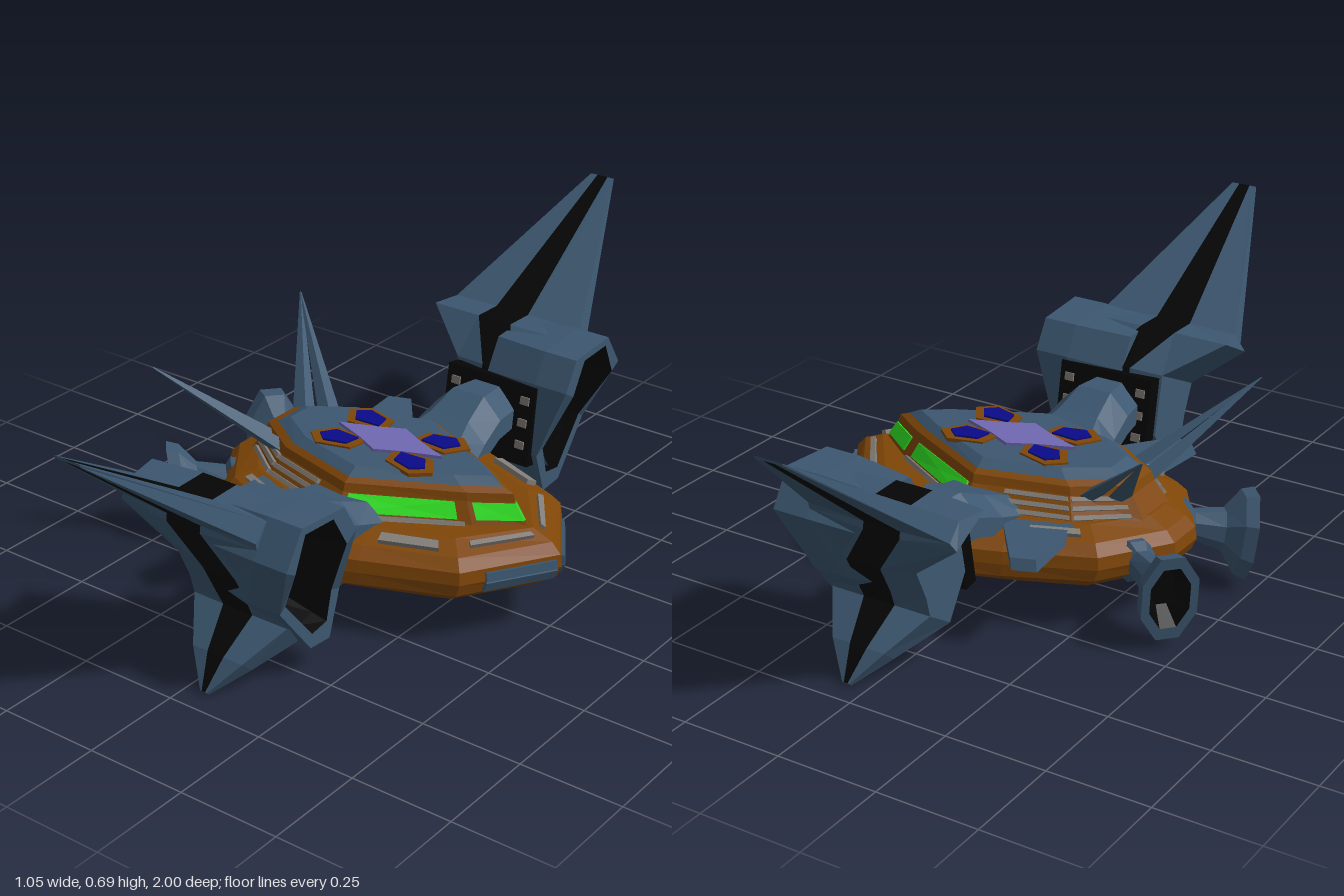
import * as THREE from 'three';

const mat = (name, color) => {
  const m = new THREE.MeshStandardMaterial({ color, flatShading: true });
  m.name = name;
  return m;
};
const ORANGE = mat('burnt orange', 0x7f4607), BLUE = mat('steel blue', 0x3c5770), BLACK = mat('black', 0x050505),
  GREEN = mat('glowing green', 0x33f526), VIOLET = mat('violet', 0x7068b2), NAVY = mat('navy', 0x0a0a8a), GREY = mat('grey', 0x827d78);

const V = (x, y, z) => new THREE.Vector3(x, y, z);

// Closed skin over equal-length rings of points; pick(row, column) chooses the material,
// row -1 is the first cap and row -2 the last cap; a negative choice leaves an opening.
function loft(name, rings, mats, pick = () => 0) {
  const list = Array.isArray(mats) ? mats : [mats];
  const tris = list.map(() => []);
  const n = rings[0].length;
  const mid = (r) => r.reduce((a, p) => a.add(p), V(0, 0, 0)).divideScalar(n);
  for (let r = 0; r < rings.length - 1; r++) {
    for (let i = 0; i < n; i++) {
      const j = (i + 1) % n, A = rings[r], B = rings[r + 1], k = pick(r, i);
      if (k >= 0) tris[k].push([A[i], A[j], B[j]], [A[i], B[j], B[i]]);
    }
  }
  const first = rings[0], last = rings[rings.length - 1], cf = mid(first), cl = mid(last);
  for (let i = 0; i < n; i++) {
    const j = (i + 1) % n;
    tris[pick(-1, i)].push([cf, first[j], first[i]]);
    tris[pick(-2, i)].push([cl, last[i], last[j]]);
  }
  // turn every face outward by the sign of the enclosed volume
  let volume = 0;
  tris.flat().forEach(([a, b, c]) => { volume += a.clone().sub(cf).dot(b.clone().sub(cf).cross(c.clone().sub(cf))); });
  const pos = [], g = new THREE.BufferGeometry();
  tris.forEach((set, k) => {
    g.addGroup(pos.length / 3, set.length * 3, k);
    set.forEach(([a, b, c]) => (volume < 0 ? [a, c, b] : [a, b, c]).forEach((p) => pos.push(p.x, p.y, p.z)));
  });
  g.setAttribute('position', new THREE.Float32BufferAttribute(pos, 3));
  g.computeVertexNormals();
  const mesh = new THREE.Mesh(g, list.length > 1 ? list : list[0]);
  mesh.name = name;
  return mesh;
}

// Thin plate straddling a flat polygon
function plate(name, pts, material, half = 0.0045) {
  const nrm = pts[2].clone().sub(pts[0]).cross(pts[pts.length - 1].clone().sub(pts[1])).normalize();
  const off = (d) => pts.map((p) => p.clone().addScaledVector(nrm, d));
  return loft(name, [off(-half), off(half)], material);
}

// Quad cut from the face between two profile edges
function patch(A, B, i, u0, u1, v0, v1, s) {
  const at = (u, v) => A[i].clone().lerp(A[i + 1], u).lerp(B[i].clone().lerp(B[i + 1], u), v).multiply(V(1, 1, s));
  return [at(u0, v0), at(u1, v0), at(u1, v1), at(u0, v1)];
}

const scaled = (half, y, kx, kz) => half.map(([x, z]) => V(0.05 + (x - 0.05) * kx, y, z * kz));
const mirrored = (h) => [...h, ...h.filter((p) => p.z > 0).reverse().map((p) => V(p.x, p.y, -p.z))];

const HULL = [[0.525, 0], [0.39, 0.21], [0.17, 0.30], [0.04, 0.35], [-0.1, 0.30], [-0.3, 0.21], [-0.41, 0.05]];
const CABIN = [[0.43, 0], [0.33, 0.075], [0.05, 0.235], [-0.2, 0.16], [-0.33, 0.06]];

export function createModel() {
  const model = new THREE.Group();
  const add = (...m) => model.add(...m);

  // Hull, cabin and roof
  const hull = [[0.093, 0.84, 0.8], [0.135, 0.97, 1], [0.165, 1, 1], [0.195, 0.99, 0.985], [0.22, 0.94, 0.9], [0.24, 0.83, 0.7]]
    .map(([y, a, b]) => scaled(HULL, y, a, b));
  add(loft('hull', hull.map(mirrored), ORANGE));
  const cabin = [scaled(CABIN, 0.235, 1, 1), scaled(CABIN, 0.29, 0.9, 0.81)];
  add(loft('cabin', cabin.map(mirrored), ORANGE));
  const roof = [[0.288, 0.91, 0.82], [0.308, 0.89, 0.79], [0.318, 0.82, 0.73], [0.335, 0.73, 0.62]]
    .map(([y, a, b]) => mirrored(scaled(CABIN, y, a, b)));
  add(loft('roof', roof, [ORANGE, BLUE], (r) => (r === 2 || r === -2 ? 1 : 0)));

  // Belly slabs
  const belly = (y0, y1, k) => [y0, y1].map((y) => mirrored(scaled(HULL, y, 0.84 * k, 0.8 * k)));
  add(loft('bellyPlate', belly(0.095, 0.088, 0.93), BLUE), loft('bellyInset', belly(0.09, 0.085, 0.7), BLUE));

  // Roof decorations
  const flat = (pts, y) => pts.map(([x, z]) => V(x, y, z));
  add(plate('roofGem', flat([[0.19, 0], [0.1, 0.035], [0.04, 0.065], [-0.02, 0.035], [-0.11, 0], [-0.02, -0.035], [0.04, -0.065], [0.1, -0.035]], 0.338), VIOLET));
  for (const s of [1, -1]) {
    for (const d of [1, -1]) {
      const pad = (k) => [[0.055, -0.03], [0.045, 0.02], [-0.025, 0.04], [-0.06, 0.01], [-0.03, -0.035]]
        .map(([x, z]) => [0.04 + d * (0.105 - x * k), s * (0.063 + z * k)]);
      add(plate('roofPad', flat(pad(1.2), 0.335), ORANGE), plate('roofVent', flat(pad(0.78), 0.3395), NAVY));
    }
  }

  for (const s of [1, -1]) {
    const P = (x, y, z) => V(x, y, z * s);
    const onCabin = (name, m, i, u0, u1, v0, v1, t) => add(plate(name, patch(cabin[0], cabin[1], i, u0, u1, v0, v1, s), m, t));
    const onHull = (name, m, r, i, u0, u1, v0, v1, t) => add(plate(name, patch(hull[r], hull[r + 1], i, u0, u1, v0, v1, s), m, t));

    // Windows, sills and rear cabin louvres
    onCabin('frontWindow', GREEN, 0, 0, 0.9, 0.26, 0.92);
    onCabin('sideWindow', GREEN, 1, 0.1, 0.95, 0.26, 0.92);
    onCabin('windowSill', GREY, 1, 0.05, 0.95, 0.02, 0.2, 0.01);
    for (const v of [0.1, 0.42, 0.74]) {
      onCabin('louvre', GREY, 2, 0.35, 0.98, v, v + 0.16, 0.01);
      onCabin('louvre', GREY, 3, 0.02, 0.85, v, v + 0.16, 0.01);
    }

    // Deck bars, bow plates and belly strips
    onHull('deckBar', GREY, 4, 1, 0.2, 0.85, 0.2, 0.6, 0.012);
    onHull('deckBar', GREY, 4, 4, 0.25, 0.85, 0.25, 0.55, 0.01);
    onHull('bowBar', GREY, 4, 0, 0.12, 0.85, 0.4, 0.65, 0.01);
    onHull('bowPlate', BLUE, 1, 0, 0.05, 0.75, 0.2, 1, 0.008);
    onHull('bowPlate', BLUE, 2, 0, 0.05, 0.75, 0, 0.7, 0.008);
    const top = scaled(HULL, 0.09, 0.61, 0.58), bottom = scaled(HULL, 0.08, 0.61, 0.58);
    for (const i of [1, 2, 3, 4]) add(plate('bellyStrip', patch(top, bottom, i, 0, 1, 0, 1, s), GREY));

    // Pylon between hull and pod
    const pylon = [[0.18, -0.09, 0.16, 0.2, 0.275], [0.25, -0.07, 0.14, 0.21, 0.3], [0.33, -0.06, 0.13, 0.235, 0.335], [0.45, -0.04, 0.12, 0.24, 0.33]]
      .map(([z, a, b, lo, hi]) => [P(a, lo, z), P(a, (lo + hi) / 2, z), P(a + 0.05, hi, z), P(b - 0.05, hi, z), P(b, (lo + hi) / 2, z), P(b, lo, z)]);
    add(loft('pylon', pylon, BLUE));

    // Blade, pod body and lower spike in one run: inner z,y / outer z,y / edges x / stripe x
    const pod = [
      [1.0, 0.685, 0.997, 0.677, -0.05, 0.02, -0.03, 0.0],
      [0.61, 0.438, 0.652, 0.393, -0.2, 0.17, -0.075, 0.02],
      [0.53, 0.44, 0.655, 0.375, -0.215, 0.17, -0.075, 0.02],
      [0.44, 0.36, 0.625, 0.27, -0.085, 0.18, 0.0, 0.09],
      [0.41, 0.2, 0.59, 0.2, -0.085, 0.18, 0.0, 0.09],
      [0.48, 0.095, 0.57, 0.155, -0.085, 0.18, 0.005, 0.088],
      [0.61, 0.045, 0.65, 0.08, -0.02, 0.12, 0.025, 0.07],
      [0.69, 0, 0.697, 0.008, 0.04, 0.06, 0.045, 0.055],
    ].map(([iz, iy, oz, oy, a, b, c, d]) => {
      const at = (x, t) => P(x, iy + (oy - iy) * t, iz + (oz - iz) * t);
      return [at(a, 0.92), at(c, 1), at(d, 1), at(b, 0.92), at(b, 0.08), at(d, 0), at(c, 0), at(a, 0.08)];
    });
    // the forward side stays open for the intake tunnel
    add(loft('bladePod', pod, [BLUE, BLACK], (r, i) => (i === 3 && r >= 2 && r <= 4 ? -1 : r >= 0 && (i === 1 || i === 5) ? 1 : 0)));

    // Forward intake: blue rim, deep black tunnel and glowing core
    const rim = [[0.604, 0.444], [0.46, 0.433], [0.417, 0.36], [0.396, 0.18], [0.433, 0.07], [0.5, 0.075], [0.604, 0.21], [0.658, 0.36]];
    const core = [[0.583, 0.406], [0.535, 0.406], [0.487, 0.32], [0.453, 0.2], [0.453, 0.165], [0.49, 0.144], [0.567, 0.235], [0.6, 0.326]];
    const blend = (k, depth) => rim.map(([z, y], i) => {
      const front = y > 0.3 ? 0.26 : 0.195;
      return P(depth === null ? 0.02 : front - depth, y + (core[i][1] - y) * k, z + (core[i][0] - z) * k);
    });
    const intake = [blend(0.25, null), blend(0, 0.09), blend(0, 0), blend(0.5, 0), blend(0.6, 0.04), blend(1, null)];
    add(loft('intake', intake, [BLUE, BLACK, GREEN], (r) => (r === -2 ? 2 : r >= 3 ? 1 : 0)));

    // Dark machinery panel on the inner side of the pod
    const panelAt = (x, t, d) => P(x, 0.35 - 0.2 * t, 0.43 - 0.035 * t - d);
    const quad = (x0, x1, t0, t1, d) => [panelAt(x0, t0, d), panelAt(x1, t0, d), panelAt(x1, t1, d), panelAt(x0, t1, d)];
    add(plate('podPanel', quad(-0.08, 0.18, 0, 1, 0), BLACK, 0.02));
    for (const t of [0.12, 0.4, 0.68]) {
      add(plate('podPanelBar', quad(-0.065, -0.04, t, t + 0.1, 0.02), GREY), plate('podPanelBar', quad(0.14, 0.165, t, t + 0.1, 0.02), GREY));
    }

    // Rear stub wing
    const stub = [[-0.235, 0.365], [-0.18, 0.385], [-0.07, 0.245], [-0.09, 0.16], [-0.215, 0.165]];
    add(loft('stubWing', [0.212, 0.238].map((y, k) => stub.map(([x, z]) => P(x + 0.008 * k, y, z - 0.008 * k))), BLUE));

    // Swept tail spike, split into two prongs that meet at the tip
    for (const [bx, bz] of [[-0.27, 0.07], [-0.212, 0.1]]) {
      const base = [[-0.024, -0.018], [0.024, -0.026], [0.02, 0.016], [-0.018, 0.02]];
      const section = (x, y, z, k) => base.map(([dx, dz]) => P(x + dx * k, y, z + dz * k));
      add(loft('tailSpike', [section(bx, 0.285, bz, 1), section(-0.445, 0.495, 0.278, 0.08)], BLUE));
    }

    // Flared rear thruster
    const axis = V(-0.72, -0.13, 0.66).normalize();
    const side = V(0, 1, 0).cross(axis).normalize(), up = axis.clone().cross(side);
    const thruster = [
      [-0.29, 0.165, 0.09, 0.045, 0.05], [-0.345, 0.16, 0.115, 0.045, 0.055], [-0.36, 0.16, 0.12, 0.03, 0.035],
      [-0.42, 0.148, 0.155, 0.035, 0.05], [-0.45, 0.14, 0.175, 0.06, 0.1], [-0.475, 0.135, 0.19, 0.066, 0.11],
      [-0.475, 0.135, 0.19, 0.047, 0.08], [-0.44, 0.143, 0.165, 0.03, 0.045],
    ].map(([x, y, z, w, h]) => Array.from({ length: 8 }, (_, i) => {
      const a = (i + 0.5) * Math.PI / 4;
      const p = V(x, y, z).addScaledVector(side, Math.cos(a) * w * 1.08).addScaledVector(up, Math.sin(a) * h * 1.08);
      return V(p.x, p.y, p.z * s);
    }));
    add(loft('thruster', thruster, [BLUE, BLACK], (r) => (r === 6 || r === -2 ? 1 : 0)));
  }
  return model;
}
